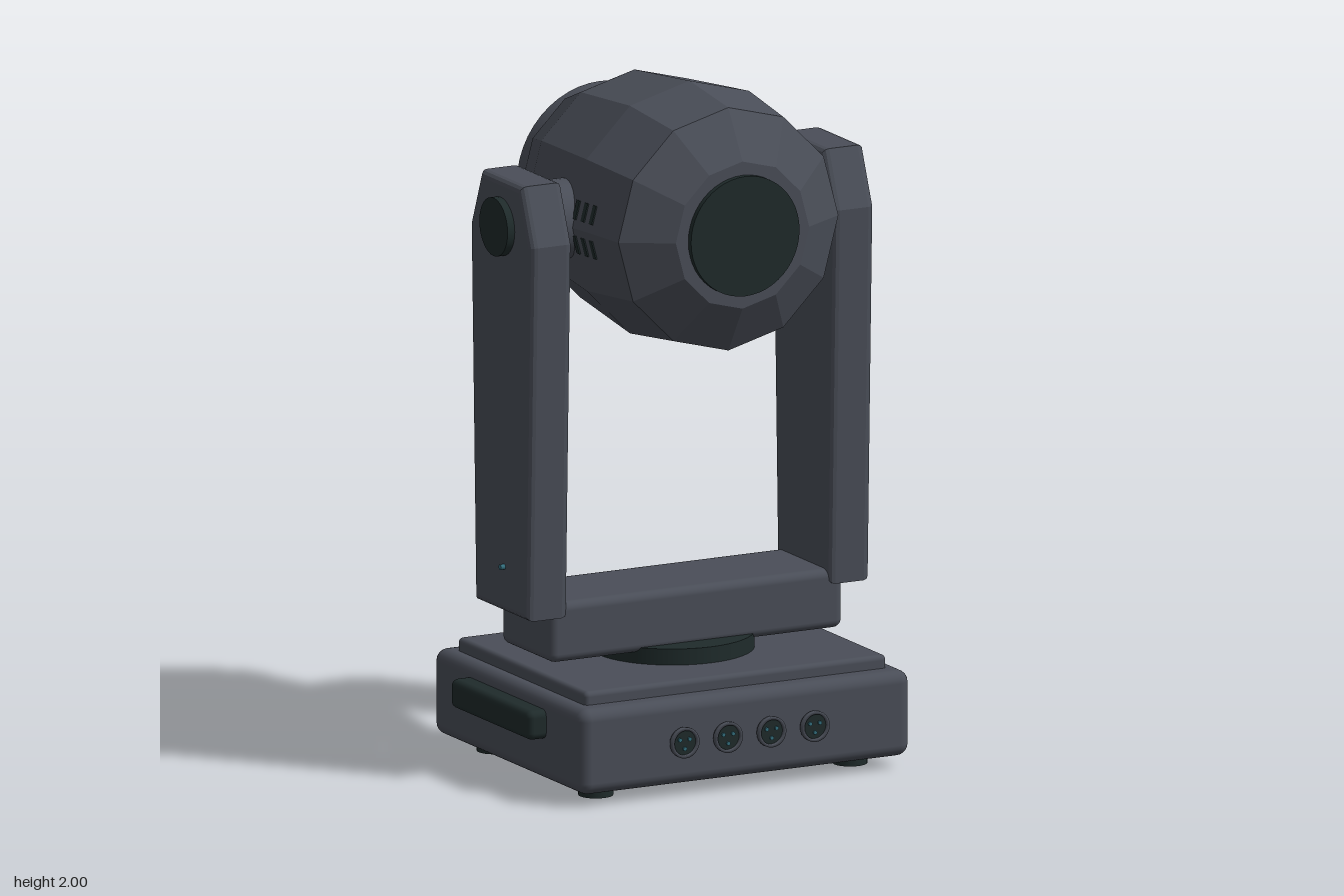
import * as THREE from 'three';
import { RoundedBoxGeometry } from 'three/addons/geometries/RoundedBoxGeometry.js';

const CZ = 0.005;    // depth of the pan axis
const AXIS_Y = 1.613; // height of the tilt axis

export function createModel() {
  const model = new THREE.Group();
  model.name = 'movingHeadLight';

  const mat = (name, color, extra = {}) => {
    const m = new THREE.MeshStandardMaterial({ color, ...extra });
    m.name = name;
    return m;
  };
  const body = mat('greyHousing', 0x4a4e58);
  const faceted = mat('greyFaceted', 0x4a4e58, { flatShading: true });
  const dark = mat('blackRubber', 0x1f2b2b);
  const teal = mat('tealGlass', 0x35707f);

  const add = (name, geo, material, x = 0, y = 0, z = 0) => {
    const mesh = new THREE.Mesh(geo, material);
    mesh.name = name;
    mesh.position.set(x, y, z);
    model.add(mesh);
    return mesh;
  };
  const box = (w, h, d, r) => new RoundedBoxGeometry(w, h, d, 3, r);
  const cyl = (r, len, axis = 'y', seg = 32) => {
    const g = new THREE.CylinderGeometry(r, r, len, seg);
    if (axis === 'x') g.rotateZ(Math.PI / 2);
    if (axis === 'z') g.rotateX(Math.PI / 2);
    return g;
  };
  const lathe = (points, seg) => new THREE.LatheGeometry(
    points.map(([r, z]) => new THREE.Vector2(r, z)), seg).rotateX(Math.PI / 2);

  // Base, top plate, turntable and feet
  add('base', box(1.066, 0.25, 0.896, 0.035), body, 0, 0.16, CZ);
  add('basePlate', box(0.974, 0.07, 0.77, 0.015), body, 0, 0.288, CZ);
  add('turntable', cyl(0.235, 0.06, 'y', 48), dark, 0, 0.34, CZ);
  for (const x of [-0.41, 0.41]) {
    for (const z of [-0.305, 0.305]) add('foot', cyl(0.05, 0.05, 'y', 24), dark, x, 0.025, CZ + z);
  }

  // Front sockets with three contacts each
  for (const x of [-0.21, -0.07, 0.07, 0.21]) {
    add('socket', lathe([[0.038, 0], [0.038, 0.012], [0.045, 0.018], [0.045, 0.03], [0.036, 0.03], [0.036, 0.02]], 24),
      body, x, 0.163, 0.448);
    add('socketInsert', cyl(0.036, 0.025, 'z', 24), dark, x, 0.163, 0.458);
    for (let i = 0; i < 3; i++) {
      const a = Math.PI / 6 + i * Math.PI * 2 / 3;
      add('socketContact', cyl(0.006, 0.008, 'z', 8), teal,
        x + 0.018 * Math.cos(a), 0.163 + 0.018 * Math.sin(a), 0.472);
    }
  }

  // Rear control panel
  add('controlPanel', new THREE.BoxGeometry(0.5, 0.16, 0.02), dark, 0, 0.17, -0.45);
  add('screen', new THREE.BoxGeometry(0.21, 0.1, 0.009), teal, -0.075, 0.168, -0.464);
  for (let i = 0; i < 4; i++) add('panelButton', cyl(0.013, 0.01, 'z', 16), body, 0.2 - i * 0.038, 0.168, -0.463);

  // Yoke crossbar
  add('yokeCrossbar', box(0.945, 0.175, 0.303, 0.025), body, 0, 0.442, CZ);

  // Yoke arm: tapered side outline, bevelled all round
  const bevel = 0.02;
  const outline = new THREE.Shape([
    [-0.16, 0.488], [0.16, 0.488], [0.188, 1.585], [0.122, 1.752], [-0.122, 1.752], [-0.188, 1.585],
  ].map(([x, y]) => new THREE.Vector2(x, y)));
  const armGeo = new THREE.ExtrudeGeometry(outline, {
    depth: 0.132 - 2 * bevel, bevelThickness: bevel, bevelSize: bevel, bevelOffset: -bevel, bevelSegments: 3,
  });
  armGeo.rotateY(Math.PI / 2).translate(-0.046, 0, 0);

  for (const s of [-1, 1]) {
    add('yokeArm', armGeo, body, s * 0.487, 0, CZ);
    add('tiltCap', cyl(0.085, 0.04, 'x'), dark, s * 0.556, AXIS_Y, CZ);
    add('tiltAxle', cyl(0.115, 0.16, 'x'), body, s * 0.36, AXIS_Y, CZ);
    add('armLight', cyl(0.008, 0.02, 'x', 12), teal, s * 0.557, 0.622, 0.027);
    add('carryHandle', box(0.075, 0.085, 0.475, 0.02), dark, s * 0.553, 0.203, CZ);
  }

  // Twelve-sided lamp head
  add('lampHead', lathe([
    [0, -0.375], [0.283, -0.375], [0.347, -0.22], [0.384, 0.11], [0.355, 0.343], [0.215, 0.428], [0, 0.428],
  ], 12), faceted, 0, AXIS_Y, 0);
  add('headEndCap', cyl(0.175, 0.03, 'z', 48), dark, 0, AXIS_Y, 0.43);

  // Cooling slots on both sides, above and below the tilt axis
  for (const s of [-1, 1]) {
    for (const v of [-1, 1]) {
      for (let i = 0; i < 8; i++) {
        const z = -0.08 + i * 0.04;
        const r = z < 0.11 ? 0.384 - (0.11 - z) * 0.112 : 0.384 - (z - 0.11) * 0.125;
        const slot = add('coolingSlot', new THREE.BoxGeometry(0.012, 0.055, 0.018), dark,
          s * (r - 0.05 * Math.tan(Math.PI / 12) - 0.003), AXIS_Y + v * 0.05, z);
        slot.rotation.z = s * v * Math.PI / 12;
      }
    }
  }

  // Lens barrel, bezel and glass
  add('lensBarrel', cyl(0.27, 0.055, 'z', 48), body, 0, AXIS_Y, -0.398);
  add('lensBarrelLip', cyl(0.238, 0.02, 'z', 48), dark, 0, AXIS_Y, -0.424);
  add('lensBezel', new THREE.TorusGeometry(0.2, 0.012, 12, 48), body, 0, AXIS_Y, -0.464);
  add('lens', cyl(0.192, 0.025, 'z', 48), teal, 0, AXIS_Y, -0.469);

  return model;
}
